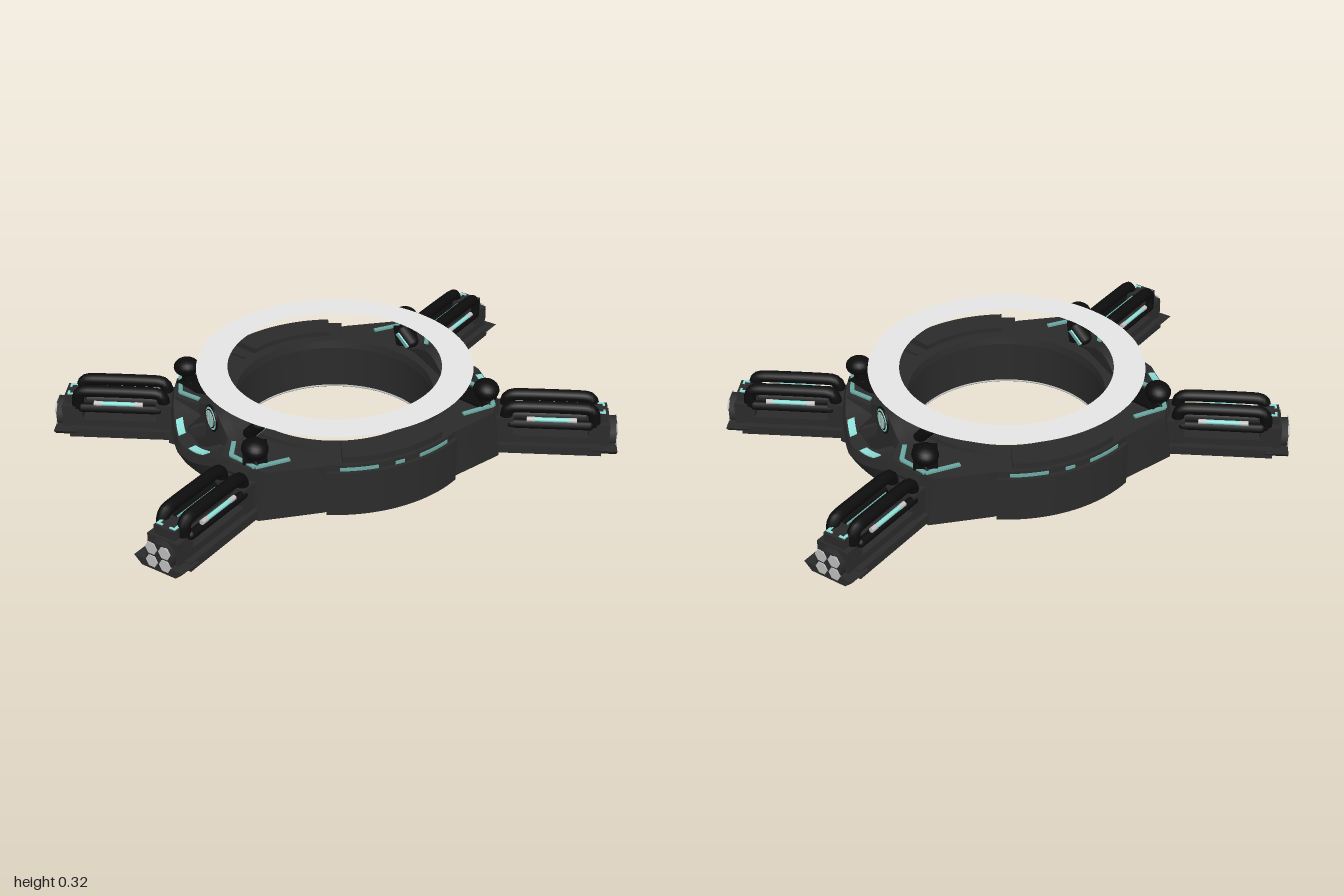
import * as THREE from 'three';
import { toCreasedNormals } from 'three/addons/utils/BufferGeometryUtils.js';

const mat = (name, color, side = THREE.FrontSide) => {
  const m = new THREE.MeshStandardMaterial({ color, side });
  m.name = name;
  return m;
};
const dark = mat('dark grey', 0x2b2b2b);
const black = mat('black', 0x0c0c0c);
const cyan = mat('pale cyan', 0x8fe0d8);
const teal = mat('dull teal', 0x6aa8a2);
const grey = mat('mid grey', 0xc4c4c4);
const light = mat('light grey', 0xe6e6e6, THREE.DoubleSide);

function add(parent, name, geo, material, x = 0, y = 0, z = 0) {
  const m = new THREE.Mesh(geo, material);
  m.name = name;
  m.position.set(x, y, z);
  parent.add(m);
  return m;
}

// Box given by its extents
function block(parent, name, material, x0, x1, y0, y1, z0, z1) {
  return add(parent, name, new THREE.BoxGeometry(x1 - x0, y1 - y0, z1 - z0), material,
    (x0 + x1) / 2, (y0 + y1) / 2, (z0 + z1) / 2);
}

// Cylinder lying along x
const rod = (r, len, sides) => new THREE.CylinderGeometry(r, r, len, sides).rotateZ(Math.PI / 2);

// Plan outline raised from y0 to y1
function slab(shape, y0, y1) {
  const g = new THREE.ExtrudeGeometry(shape, { depth: y1 - y0, bevelEnabled: false, curveSegments: 64 });
  return g.rotateX(-Math.PI / 2).translate(0, y0, 0);
}

// Sector of a flat ring, angles in degrees
function arcSlab(r0, r1, a0, a1, y0, y1) {
  const s = new THREE.Shape(), d = Math.PI / 180;
  s.absarc(0, 0, r1, a0 * d, a1 * d, false);
  s.absarc(0, 0, r0, a1 * d, a0 * d, true);
  return toCreasedNormals(slab(s, y0, y1), 0.5);
}

// Closed skin through equal-sized loops, each counter-clockwise seen from the end
function loft(loops) {
  const n = loops[0].length, idx = [];
  for (let k = 0; k < loops.length - 1; k++)
    for (let i = 0; i < n; i++) {
      const a = k * n + i, b = k * n + (i + 1) % n;
      idx.push(a, b, a + n, b, b + n, a + n);
    }
  const e = (loops.length - 1) * n;
  for (let i = 1; i < n - 1; i++) idx.push(0, i + 1, i, e, e + i, e + i + 1);
  const g = new THREE.BufferGeometry();
  g.setAttribute('position', new THREE.Float32BufferAttribute(loops.flat(2), 3));
  g.setIndex(idx);
  return toCreasedNormals(g, 0.5);
}

// Side wing and crest outlines as functions of the distance from z = 0
const smooth = THREE.MathUtils.smoothstep;
const wingOut = a => 0.655 - 0.15 * a - 0.6 * a * a;
const wingTop = a => 0.14 + 0.06 * smooth(a, 0.05, 0.3);
const wingIn = a => 0.59 - 0.11 * smooth(a, 0.06, 0.15);
const crestTop = a => 0.2 + 0.075 * Math.exp(-((a / 0.13) ** 2));

function alongZ(z0, z1, n, section) {
  return loft(Array.from({ length: n + 1 }, (_, k) => {
    const z = z0 + (z1 - z0) * k / n;
    return section(Math.abs(z)).map(([x, y]) => [x, y, z]);
  }));
}

function makeArm() {
  const arm = new THREE.Group();
  block(arm, 'armBase', dark, 0.62, 1.03, 0.01, 0.045, -0.095, 0.095);
  block(arm, 'armBeam', dark, 0.6, 1.0, 0.03, 0.075, -0.07, 0.07);
  block(arm, 'innerBracket', dark, 0.61, 0.69, 0.03, 0.15, -0.075, 0.075);
  block(arm, 'endBlock', dark, 0.98, 1.06, 0.03, 0.13, -0.068, 0.068);
  block(arm, 'endCap', dark, 0.97, 1.05, 0.13, 0.168, -0.045, 0.045);
  add(arm, 'endBoss', rod(0.06, 0.06, 8).rotateX(Math.PI / 8), dark, 1.057, 0.07, 0);
  // Flared foot, wider at its top
  const footLoops = [1.0, 1.09].map(x =>
    [[x, 0.01, 0.075], [x, 0.01, -0.075], [x, 0.04, -0.108], [x, 0.04, 0.108]]);
  add(arm, 'foot', loft(footLoops), dark);
  for (const s of [-1, 1]) {
    // Side rail and the bent handle above it
    add(arm, 'sideRail', new THREE.CapsuleGeometry(0.018, 0.3, 4, 10).rotateZ(Math.PI / 2), black, 0.83, 0.125, s * 0.062);
    const path = new THREE.CatmullRomCurve3([[0.66, 0.12], [0.665, 0.17], [0.7, 0.19], [0.96, 0.19], [0.995, 0.17], [1.0, 0.12]]
      .map(([x, y]) => new THREE.Vector3(x, y, s * 0.046)), false, 'catmullrom', 0.3);
    add(arm, 'handle', new THREE.TubeGeometry(path, 32, 0.024, 10), black);
    // Lit bracket at the tip and thin line between the handles
    block(arm, 'tipLight', cyan, 1.0, 1.04, 0.168, 0.172, s * 0.036 - 0.005, s * 0.036 + 0.005);
    block(arm, 'tipLight', cyan, 1.032, 1.04, 0.168, 0.172, s * 0.026 - 0.01, s * 0.026 + 0.01);
    block(arm, 'lightLine', teal, 0.74, 0.96, 0.158, 0.164, s * 0.012 - 0.003, s * 0.012 + 0.003);
    // Side tube with a lit middle
    add(arm, 'tubeLight', rod(0.009, 0.13, 10), cyan, 0.835, 0.15, s * 0.07);
    for (const x of [0.755, 0.915]) add(arm, 'tubeEnd', rod(0.01, 0.03, 10), grey, x, 0.15, s * 0.07);
    for (const y of [0.043, 0.097])
      add(arm, 'endPlate', rod(0.026, 0.006, 6), grey, 1.088, y, s * 0.029);
  }
  // Power cell between the handles
  add(arm, 'powerCell', rod(0.026, 0.32, 14), dark, 0.835, 0.135, 0);
  return arm;
}

function makeSide() {
  const side = new THREE.Group();
  add(side, 'sideWing', alongZ(-0.36, 0.36, 36, a => {
    const i = wingIn(a), o = wingOut(a), t = wingTop(a);
    return [[i, 0.05], [o - 0.03, 0.05], [o, t - 0.035], [o - 0.012, t], [i, t + 0.01]];
  }), dark);
  // Arched crest carrying the lamp
  add(side, 'crest', alongZ(-0.23, 0.23, 36, a => {
    const t = crestTop(a);
    return [[0.41, 0.17], [0.515, 0.17], [0.505, t - 0.02], [0.475, t], [0.41, t - 0.005]];
  }), dark);
  const disc = (name, m, r, x) => add(side, name, rod(r, 0.006, 32), m, x, 0.217, 0);
  disc('lampHousing', black, 0.053, 0.512);
  disc('lampRing', cyan, 0.045, 0.514);
  disc('lampGap', black, 0.037, 0.516);
  disc('lampLens', grey, 0.033, 0.518);
  for (const z of [-0.012, 0.012])
    block(side, 'lampBar', cyan, 0.519, 0.523, 0.19, 0.244, z - 0.004, z + 0.004);
  for (const s of [-1, 1]) {
    const z = [0.05 * s, 0.135 * s].sort((a, b) => a - b);
    add(side, 'wingLight', alongZ(z[0], z[1], 8, a => {
      const o = wingOut(a), t = wingTop(a);
      return [[o - 0.046, t], [o - 0.017, t], [o - 0.017, t + 0.005], [o - 0.046, t + 0.01]];
    }), cyan);
    block(side, 'wingStrut', dark, 0.48, 0.61, 0.1, 0.145, s * 0.085 - 0.01, s * 0.085 + 0.01);
    // Shoulder roller and its mount
    const roller = add(side, 'roller', new THREE.SphereGeometry(1, 20, 12).scale(0.05, 0.037, 0.052), black,
      0.48, 0.262, s * 0.33);
    roller.rotation.x = s * 0.15;
    block(side, 'rollerMount', black, 0.46, 0.5, 0.19, 0.25, s * 0.315 - 0.02, s * 0.315 + 0.02);
    // Tilted clamp with a lit edge
    const clamp = new THREE.Group();
    clamp.name = 'clamp';
    clamp.position.set(0.42, 0.25, s * 0.19);
    clamp.rotation.set(s * 0.65, 0, 0.4);
    add(clamp, 'clampJaw', new THREE.CapsuleGeometry(0.022, 0.06, 4, 10).scale(1.4, 1, 1), black);
    block(clamp, 'clampLight', cyan, -0.034, -0.028, -0.035, 0.035, -0.012, 0.012);
    side.add(clamp);
    // Lit channel round the shoulder and the dark tray within it
    const pts = [[0.36, 0.367], [0.495, 0.362], [0.54, 0.25], [0.495, 0.17]];
    for (let k = 0; k < 3; k++) {
      const [x0, z0] = pts[k], [x1, z1] = pts[k + 1];
      const strip = add(side, 'shoulderLight', new THREE.BoxGeometry(Math.hypot(x1 - x0, z1 - z0), 0.008, 0.017), teal,
        (x0 + x1) / 2, 0.204, s * (z0 + z1) / 2);
      strip.rotation.y = -s * Math.atan2(z1 - z0, x1 - x0);
    }
    const tray = block(side, 'shoulderTray', black, 0.41, 0.5, 0.195, 0.209, s * 0.27 - 0.08, s * 0.27 + 0.08);
    tray.rotation.y = s * 0.4;
  }
  return side;
}

export function createModel() {
  const model = new THREE.Group();

  // Main ring with four shoulders, drawn in slightly towards its top
  const plan = new THREE.Shape();
  const corner = [[0.53, 0.12], [0.605, 0.235], [0.505, 0.405], [0.27, 0.46]];
  const back = corner.slice().reverse();
  [...corner, ...back.map(([x, z]) => [-x, z]), ...corner.map(([x, z]) => [-x, -z]), ...back.map(([x, z]) => [x, -z])]
    .forEach(([x, z], i) => (i ? plan.lineTo(x, z) : plan.moveTo(x, z)));
  plan.closePath();
  plan.holes.push(new THREE.Path().absarc(0, 0, 0.382, 0, Math.PI * 2, true));
  const body = slab(plan, 0, 0.2), p = body.attributes.position;
  for (let i = 0; i < p.count; i++)
    if (p.getY(i) > 0.1 && Math.abs(p.getX(i)) > 0.45) p.setX(i, p.getX(i) * 0.94);
  add(model, 'mainRing', toCreasedNormals(body, 0.4), dark);

  // Inner collar and lower lip
  const collarProfile = [[0.374, 0.185], [0.43, 0.185], [0.425, 0.215], [0.38, 0.215], [0.374, 0.185]];
  const collar = new THREE.LatheGeometry(collarProfile.map(q => new THREE.Vector2(...q)), 96);
  add(model, 'innerCollar', toCreasedNormals(collar, 0.4), dark);
  add(model, 'lowerLip', new THREE.TorusGeometry(0.382, 0.004, 6, 96).rotateX(Math.PI / 2), grey, 0, 0.005, 0);

  // Front and back curved panels with light strips
  for (const mid of [90, 270]) {
    add(model, 'curvedPanel', arcSlab(0.4, 0.555, mid - 29, mid + 29, 0.005, 0.185), dark);
    add(model, 'panelStep', arcSlab(0.4, 0.54, mid - 29, mid + 29, 0.185, 0.21), dark);
    add(model, 'panelCrest', arcSlab(0.42, 0.525, mid - 23, mid + 23, 0.21, 0.235), dark);
    for (const [a, b] of [[-24, -9], [-2, 2], [9, 24]])
      add(model, 'panelLight', arcSlab(0.537, 0.544, mid + a, mid + b, 0.187, 0.2), teal);
  }

  // Flat disc hovering over the ring
  add(model, 'hoverDisc', new THREE.RingGeometry(0.41, 0.53, 96).rotateX(-Math.PI / 2), light, 0, 0.325, 0);

  for (const turn of [0, Math.PI]) {
    const side = makeSide();
    side.name = turn ? 'rightSide' : 'leftSide';
    side.rotation.y = turn;
    model.add(side);
    for (const s of [-1, 1]) {
      const arm = makeArm();
      arm.name = 'arm';
      arm.rotation.y = turn + s * Math.PI / 6;
      model.add(arm);
    }
  }
  return model;
}
